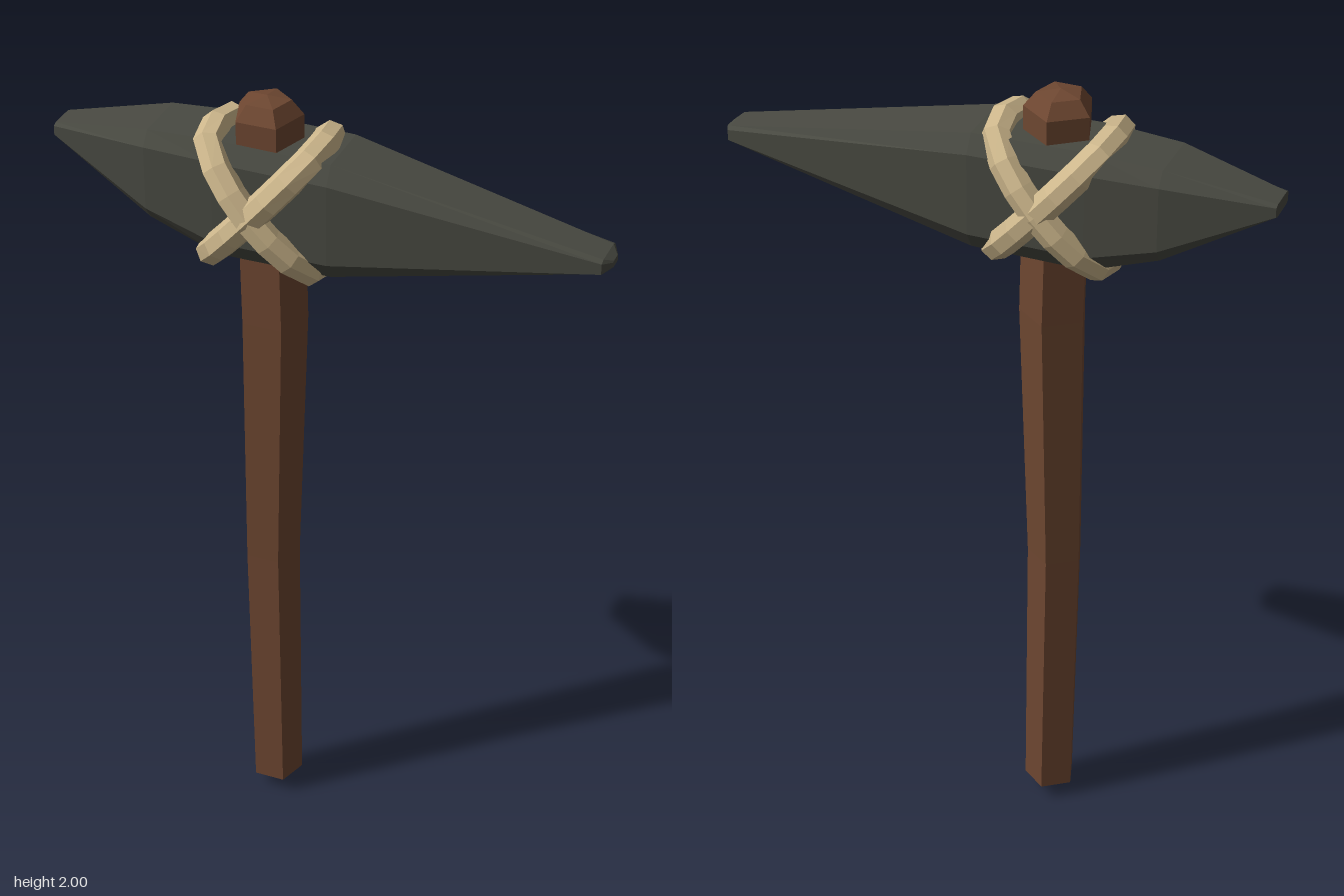
import * as THREE from 'three';

const material = (color) => new THREE.MeshStandardMaterial({ color, flatShading: true });

// Skin rings of points (counter-clockwise about the travel direction) and close both ends.
function loft(rings, startTip, endTip) {
  const pos = [];
  const tri = (...pts) => pts.forEach((p) => pos.push(...p));
  const n = rings[0].length;
  const last = rings[rings.length - 1];
  for (let i = 0; i < n; i++) {
    const j = (i + 1) % n;
    for (let k = 0; k + 1 < rings.length; k++) {
      const a = rings[k], b = rings[k + 1];
      tri(a[i], a[j], b[j]);
      tri(a[i], b[j], b[i]);
    }
    tri(startTip, rings[0][j], rings[0][i]);
    tri(endTip, last[i], last[j]);
  }
  const g = new THREE.BufferGeometry();
  g.setAttribute('position', new THREE.Float32BufferAttribute(pos, 3));
  g.computeVertexNormals();
  return g;
}

// Five-sided, slightly crooked shaft: height, centre x, radius
function handleGeometry() {
  const rings = [
    [0.04, -0.148, 0.065], [0.75, -0.155, 0.07], [1.43, -0.143, 0.083],
    [1.7, -0.148, 0.083], [1.955, -0.15, 0.083], [1.99, -0.15, 0.055],
  ].map(([y, cx, r]) => Array.from({ length: 5 }, (_, i) => {
    const t = Math.PI + (i * Math.PI * 2) / 5;
    return [cx + r * Math.sin(t), y, r * Math.cos(t)];
  }));
  return loft(rings, [-0.148, 0, 0], [-0.15, 2, 0]);
}

// Bevelled stone head: x, top y, bottom y, half depth
function headGeometry() {
  const zc = -0.008;
  const f = 0.74, s = 0.7; // bevel proportions
  const corners = [[1, f], [s, 1], [-s, 1], [-1, f], [-1, -f], [-s, -1], [s, -1], [1, -f]];
  const rings = [
    [-0.672, 1.84, 1.808, 0.043], [-0.42, 1.89, 1.665, 0.095], [-0.25, 1.9, 1.605, 0.102],
    [0.03, 1.895, 1.607, 0.103], [0.655, 1.77, 1.733, 0.05], [0.672, 1.758, 1.742, 0.018],
  ].map(([x, top, bottom, hz]) => corners.map(([v, w]) =>
    [x, (top + bottom) / 2 + (v * (top - bottom)) / 2, zc + w * hz]));
  return loft(rings, [-0.672, 1.824, zc], [0.672, 1.75, zc]);
}

// Closed rope loop lying in a plane tilted to one side (dir = +1 or -1)
function lashingGeometry(dir) {
  const outline = [[1, 0.065], [0.58, 0.112], [0, 0.13], [-0.58, 0.112], [-1, 0.065],
    [-1, -0.065], [-0.58, -0.112], [0, -0.13], [0.58, -0.112], [1, -0.065]];
  const points = outline.map(([u, z]) =>
    new THREE.Vector3(-0.145 + dir * u * 0.122, 1.75 + u * 0.14, z));
  const curve = new THREE.CatmullRomCurve3(points, true, 'centripetal');
  return new THREE.TubeGeometry(curve, 16, 0.036, 7, true);
}

export function createModel() {
  const model = new THREE.Group();
  model.name = 'pickaxe';
  const add = (name, geometry, mat) => {
    const mesh = new THREE.Mesh(geometry, mat);
    mesh.name = name;
    model.add(mesh);
  };
  add('handle', handleGeometry(), material(0x6e4731));
  add('stoneHead', headGeometry(), material(0x484941));
  const rope = material(0xcdb78c);
  add('lashingLeft', lashingGeometry(1), rope);
  add('lashingRight', lashingGeometry(-1), rope);
  return model;
}
